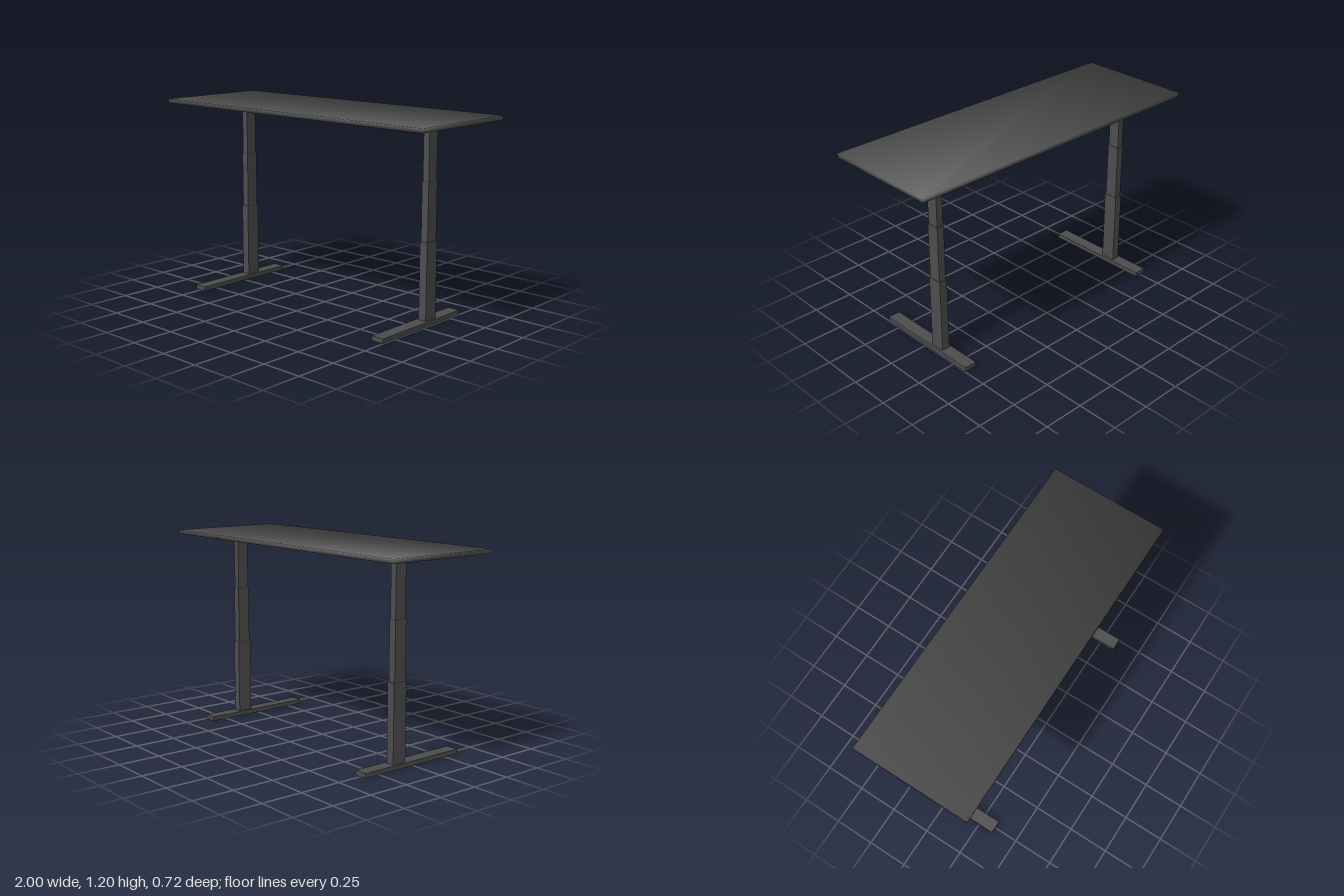
import * as THREE from 'three';

export function createModel() {
  const model = new THREE.Group();
  const charcoal = new THREE.MeshStandardMaterial({ color: 0x4d4d4d });
  charcoal.name = 'charcoal';

  // Box given by its size, bottom height and centre
  function box(name, w, d, y0, y1, x, z) {
    const mesh = new THREE.Mesh(new THREE.BoxGeometry(w, y1 - y0, d), charcoal);
    mesh.name = name;
    mesh.position.set(x, (y0 + y1) / 2, z);
    return mesh;
  }

  // Tabletop, shaded softly: each corner normal points diagonally outward
  const top = box('tabletop', 2, 0.723, 1.169, 1.195, 0, 0);
  const { position, normal } = top.geometry.attributes;
  const n = new THREE.Vector3();
  for (let i = 0; i < position.count; i++) {
    n.fromBufferAttribute(position, i);
    n.set(Math.sign(n.x), Math.sign(n.y), Math.sign(n.z)).normalize();
    normal.setXYZ(i, n.x, n.y, n.z);
  }
  model.add(top);

  // Telescoping legs, each with a flat foot and three column stages
  const columnZ = -0.091;
  for (const [side, x] of [['right', -0.751], ['left', 0.709]]) {
    const leg = new THREE.Group();
    leg.name = side + 'Leg';
    leg.position.x = x;
    leg.add(
      box('foot', 0.079, 0.7, 0, 0.027, 0, 0),
      box('lowerColumn', 0.051, 0.091, 0.027, 0.485, 0, columnZ),
      box('middleColumn', 0.046, 0.079, 0.485, 0.83, 0, columnZ),
      box('upperColumn', 0.041, 0.073, 0.83, 1.17, 0, columnZ)
    );
    model.add(leg);
  }
  return model;
}
